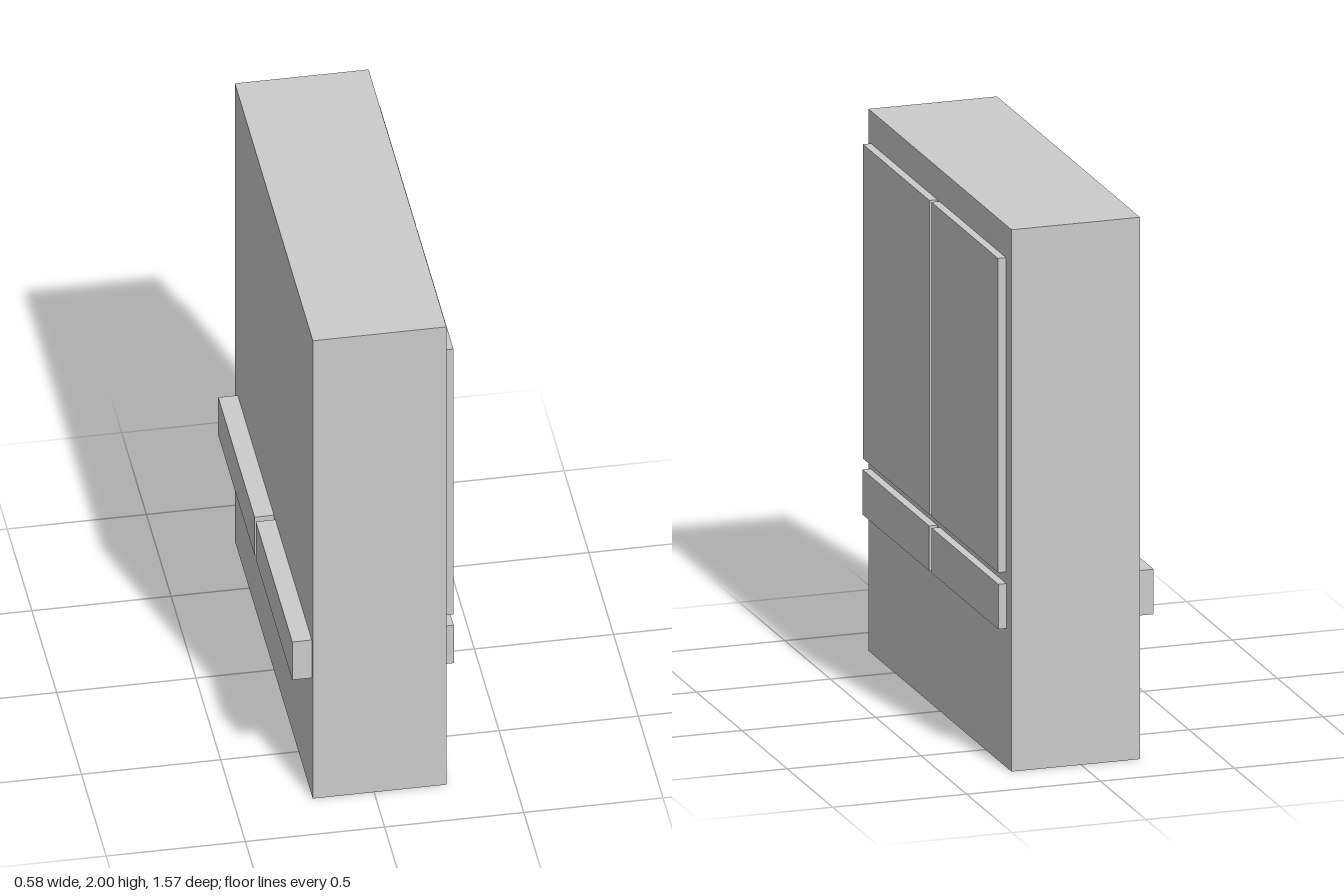
import * as THREE from 'three';

const material = new THREE.MeshStandardMaterial({ color: 0xcccccc, flatShading: true });

// Box given by its [min, max] extent along each axis
function block(name, [x0, x1], [y0, y1], [z0, z1]) {
  const mesh = new THREE.Mesh(new THREE.BoxGeometry(x1 - x0, y1 - y0, z1 - z0), material);
  mesh.position.set((x0 + x1) / 2, (y0 + y1) / 2, (z0 + z1) / 2);
  mesh.name = name;
  return mesh;
}

export function createModel() {
  const group = new THREE.Group();
  group.name = 'cabinet';

  // Main carcass
  group.add(block('cabinetBody', [-0.22, 0.26], [0, 2], [-0.787, 0.787]));

  // Tall doors standing proud of the +x face
  const doors = { frontDoor: [0.028, 0.76], backDoor: [-0.727, 0.007] };
  for (const [name, z] of Object.entries(doors)) {
    group.add(block(name, [0.24, 0.29], [0.72, 1.88], z));
  }

  // Drawers running through the body and out of the -x face
  const drawers = { frontDrawer: [0.03, 0.766], backDrawer: [-0.73, 0.003] };
  for (const [name, z] of Object.entries(drawers)) {
    group.add(block(name, [-0.29, 0.29], [0.512, 0.678], z));
  }

  return group;
}
